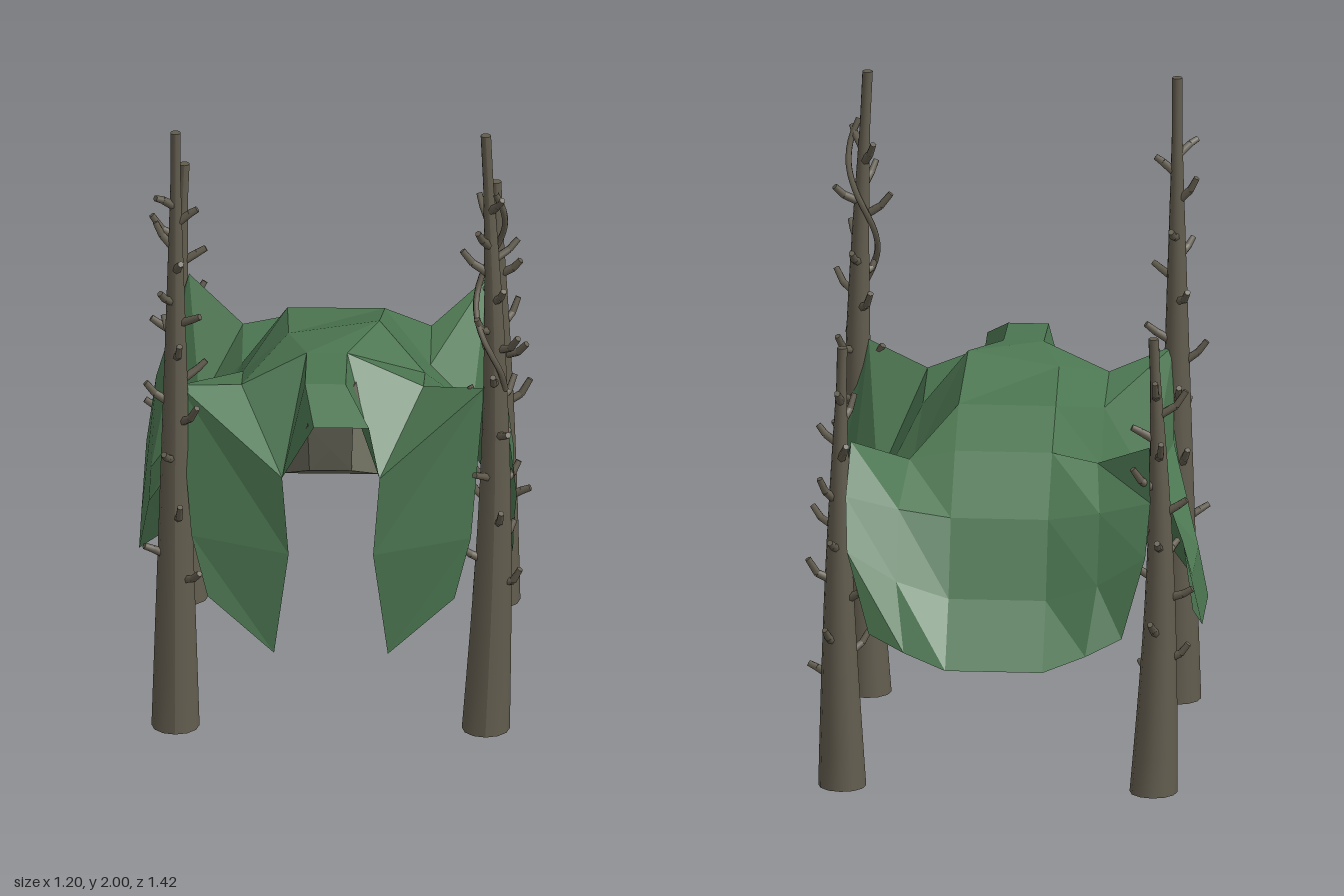
import * as THREE from 'three';

const wood = new THREE.MeshStandardMaterial({ color: 0x625c4e });
const woodFlat = new THREE.MeshStandardMaterial({ color: 0x6a6a5c, flatShading: true, side: THREE.DoubleSide });
const cloth = new THREE.MeshStandardMaterial({ color: 0x4c7651, flatShading: true, side: THREE.DoubleSide });

// Small seeded random generator
function seeded(seed) {
  return () => {
    seed = (seed * 16807) % 2147483647;
    return seed / 2147483647;
  };
}

function add(parent, geometry, material, name) {
  const mesh = new THREE.Mesh(geometry, material);
  mesh.name = name;
  parent.add(mesh);
  return mesh;
}

// Surface through rows of equally many [x, y, z] points
function sheet(rows) {
  const n = rows[0].length, index = [];
  for (let i = 0; i < rows.length - 1; i++) {
    for (let j = 0; j < n - 1; j++) {
      const a = i * n + j, b = a + 1, c = a + n, d = c + 1;
      index.push(a, c, b, b, c, d);
    }
  }
  const g = new THREE.BufferGeometry();
  g.setAttribute('position', new THREE.Float32BufferAttribute(rows.flat(2), 3));
  g.setIndex(index);
  const flat = g.toNonIndexed();
  flat.computeVertexNormals();
  return flat;
}

// Mirror to the right side; its curtain flares at the back and tucks in at the front
function mirror([x, y, z]) {
  if (x > 0.5) return [-x - 0.05 + 0.4 * Math.max(0, z - 0.16), y, z];
  return [x < 0.1 ? -x - 0.035 : -x, y, z];
}
const fullRow = (half) => [...half.map(mirror).reverse(), ...half];

// Tapered twig between two points
function twig(parent, from, to, r0, r1, name) {
  const dir = to.clone().sub(from);
  const g = new THREE.CylinderGeometry(r1, r0, dir.length(), 6);
  const mesh = add(parent, g, wood, name);
  mesh.position.copy(from).addScaledVector(dir, 0.5);
  mesh.quaternion.setFromUnitVectors(new THREE.Vector3(0, 1, 0), dir.normalize());
}

// Trunk with a gentle bend and stubby bent twigs all round
function trunk({ name, x, z, height, bendX, bendZ, twigs, seed }) {
  const group = new THREE.Group();
  group.name = name;
  const radius = (t) => Math.max(0.016, 0.074 - 0.064 * t);
  const center = (t) => new THREE.Vector3(
    x + bendX * Math.sin(t * Math.PI), height * t, z + bendZ * Math.sin(t * Math.PI));

  const g = new THREE.CylinderGeometry(1, 1, 1, 12, 12);
  const p = g.attributes.position;
  for (let i = 0; i < p.count; i++) {
    const t = p.getY(i) + 0.5, c = center(t), r = radius(t);
    p.setXYZ(i, c.x + p.getX(i) * r, c.y, c.z + p.getZ(i) * r);
  }
  g.computeVertexNormals();
  add(group, g, wood, 'trunkStem');

  const rand = seeded(seed);
  for (let i = 0; i < twigs; i++) {
    const t = 0.25 + 0.65 * (i + rand() * 0.6) / twigs;
    const a = i * 2.4 + rand();
    const out = new THREE.Vector3(Math.cos(a), 0, Math.sin(a));
    const start = center(t).addScaledVector(out, radius(t) * 0.6);
    const reach = 0.03 + rand() * 0.016;
    const knee = start.clone().addScaledVector(out, reach);
    knee.y += 0.01 + rand() * 0.02;
    const tip = knee.clone().addScaledVector(out, reach * 0.7);
    tip.y += 0.01 + rand() * 0.04;
    twig(group, start, knee, 0.014, 0.012, 'twig');
    twig(group, knee, tip, 0.012, 0.01, 'twigTip');
  }
  return group;
}

export function createModel() {
  const model = new THREE.Group();
  model.name = 'canopyOnTrunks';

  // Four trunks, the front pair taller
  [
    { name: 'frontLeftTrunk', x: 0.475, z: 0.505, height: 2, bendX: 0.03, bendZ: 0, twigs: 22, seed: 11 },
    { name: 'frontRightTrunk', x: -0.48, z: 0.505, height: 2, bendX: 0, bendZ: -0.01, twigs: 20, seed: 29 },
    { name: 'backLeftTrunk', x: 0.485, z: -0.455, height: 1.41, bendX: 0.01, bendZ: 0, twigs: 16, seed: 47 },
    { name: 'backRightTrunk', x: -0.475, z: -0.455, height: 1.46, bendX: -0.02, bendZ: 0.01, twigs: 16, seed: 83 },
  ].forEach((t) => model.add(trunk(t)));

  // Thin vine winding up the front left trunk
  const vine = [];
  for (let i = 0; i <= 10; i++) {
    const a = i * 0.75, r = 0.045;
    vine.push(new THREE.Vector3(0.49 + Math.cos(a) * r, 1.15 + i * 0.068, 0.52 + Math.sin(a) * r));
  }
  add(model, new THREE.TubeGeometry(new THREE.CatmullRomCurve3(vine), 30, 0.01, 6), wood, 'vine');

  const backCorner = [0.46, 1.10, -0.43];
  const frontCorner = [0.47, 1.14, 0.49];

  // Main canopy with side curtains, from back to front, ridge to hem
  const canopy = [
    [[0.15, 1.03, -0.28], [0.29, 1.00, -0.28], backCorner, [0.51, 0.78, -0.37], [0.54, 0.56, -0.37]],
    [[0.15, 1.13, -0.12], [0.29, 0.94, -0.12], [0.42, 0.80, -0.12], [0.52, 0.59, -0.11], [0.55, 0.43, -0.10]],
    [[0.14, 1.215, 0.16], [0.28, 1.04, 0.16], [0.42, 0.79, 0.16], [0.52, 0.60, 0.16], [0.55, 0.44, 0.16]],
    [[0.045, 1.19, 0.35], [0.28, 1.09, 0.37], frontCorner, [0.53, 0.85, 0.42], [0.555, 0.61, 0.40]],
  ].map(fullRow);
  canopy[2][4][1] = 1.17; // the ridge leans: lower on the right
  add(model, sheet(canopy), cloth, 'canopy');

  // Back flap falling behind the back trunks, hollow in the middle
  const backFlap = [
    [[0.15, 1.03, -0.28], [0.29, 1.00, -0.28], backCorner],
    [[0.15, 0.87, -0.46], [0.31, 0.90, -0.48], [0.47, 0.95, -0.52]],
    [[0.15, 0.64, -0.56], [0.31, 0.70, -0.585], [0.46, 0.80, -0.61]],
    [[0.15, 0.455, -0.71], [0.28, 0.50, -0.68], [0.39, 0.55, -0.65]],
  ];
  add(model, sheet(backFlap.map(fullRow)), cloth, 'backFlap');

  // Hood over the head: a narrow strip with steep sides
  const hood = [
    [[-0.08, 1.19, 0.35], [-0.08, 1.19, 0.35], [0.045, 1.19, 0.35], [0.045, 1.19, 0.35]],
    [[-0.15, 0.88, 0.60], [-0.08, 1.18, 0.56], [0.045, 1.18, 0.56], [0.15, 0.88, 0.60]],
    [[-0.15, 0.88, 0.60], [-0.05, 1.10, 0.71], [0.12, 1.10, 0.71], [0.15, 0.88, 0.60]],
  ];
  add(model, sheet(hood), cloth, 'hood');

  for (const [side, flip] of [['Left', (p) => p], ['Right', mirror]]) {
    // Sloping panel between hood, shoulder and front trunk
    const slope = [
      [[0.045, 1.19, 0.35], [0.28, 1.09, 0.37]],
      [[0.15, 0.88, 0.60], frontCorner],
    ];
    add(model, sheet(slope.map((r) => r.map(flip))), cloth, 'front' + side + 'Panel');

    // Curtain wrapping the front trunk
    const wrap = [
      [frontCorner, [0.53, 0.85, 0.42], [0.555, 0.61, 0.40]],
      [frontCorner, [0.55, 0.95, 0.49], [0.57, 0.78, 0.49]],
    ];
    add(model, sheet(wrap.map((r) => r.map(flip))), cloth, 'corner' + side + 'Panel');

    // Pointed front flap
    const flap = [
      [[0.15, 0.88, 0.60], frontCorner],
      [[0.13, 0.62, 0.595], [0.43, 0.66, 0.55]],
      [[0.175, 0.28, 0.58], [0.38, 0.465, 0.57]],
    ];
    add(model, sheet(flap.map((r) => r.map(flip))), cloth, 'front' + side + 'Flap');
  }

  // Wooden body and head under the canopy, as closed four-sided sections
  const section = (w0, y0, z0, w1, y1, z1) =>
    [[-w0, y0, z0], [w0, y0, z0], [w1, y1, z1], [-w1, y1, z1], [-w0, y0, z0]];
  const body = [
    section(0, 0.93, -0.22, 0, 0.93, -0.22),
    section(0.14, 0.87, -0.21, 0.11, 0.97, -0.23),
    section(0.17, 0.86, 0.10, 0.12, 1.08, 0.10),
    section(0.15, 0.86, 0.52, 0.06, 1.13, 0.50),
    section(0.065, 0.92, 0.63, 0.07, 1.09, 0.67),
    section(0, 1.0, 0.65, 0, 1.0, 0.65),
  ];
  add(model, sheet(body), woodFlat, 'body');

  // Roots spreading under the body
  const rand = seeded(7);
  for (let i = 0; i < 8; i++) {
    const a = i * 0.785 + rand() * 0.3;
    const from = new THREE.Vector3(Math.cos(a) * 0.03, 0.87, 0.12 + Math.sin(a) * 0.05);
    const knee = new THREE.Vector3(Math.cos(a) * 0.09, 0.81 + rand() * 0.02, 0.12 + Math.sin(a) * 0.14);
    const tip = new THREE.Vector3(Math.cos(a) * 0.17, 0.76 + rand() * 0.05, 0.12 + Math.sin(a) * 0.24);
    twig(model, from, knee, 0.012, 0.01, 'root');
    twig(model, knee, tip, 0.01, 0.008, 'rootTip');
  }
  return model;
}
